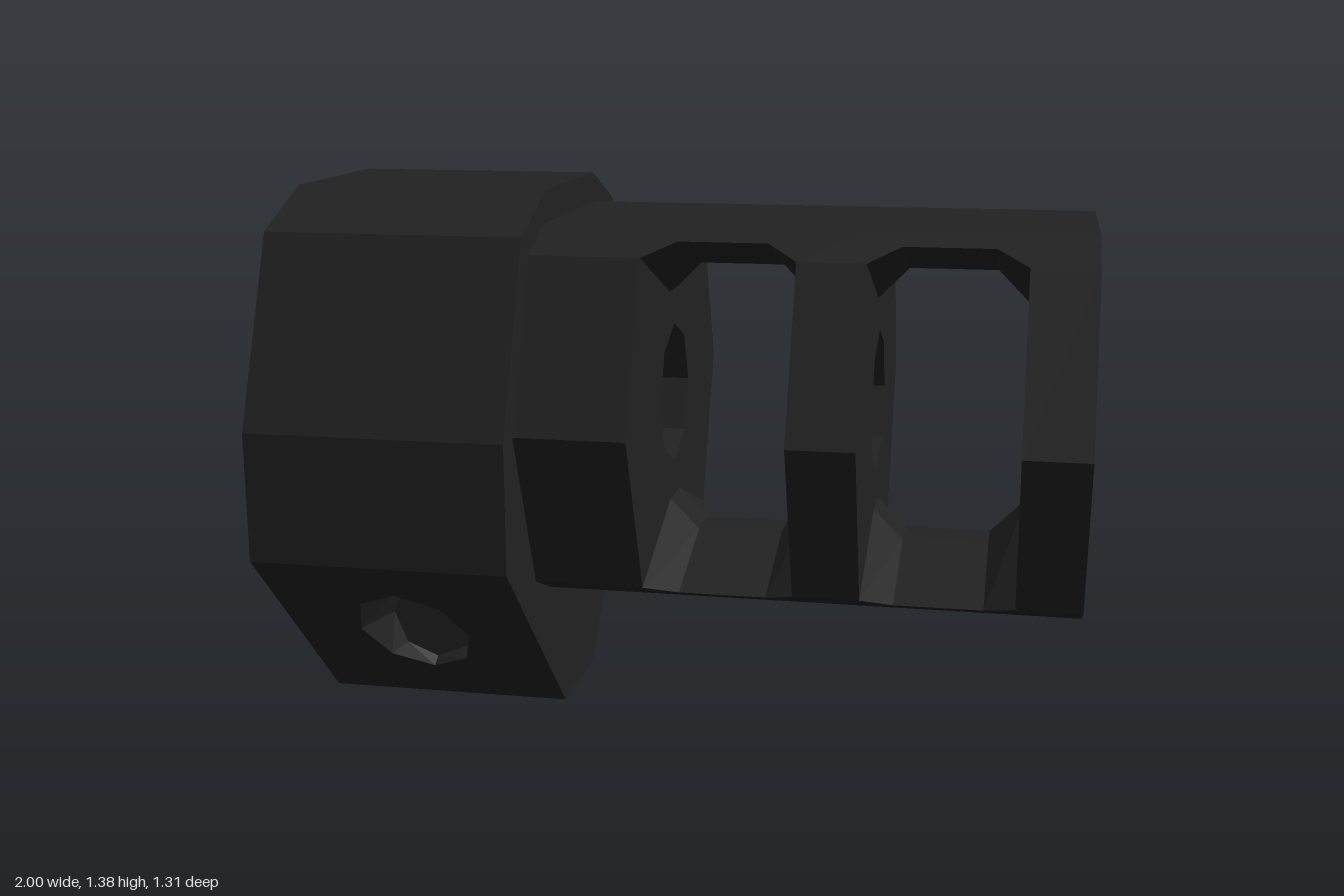
import * as THREE from 'three';

const AXIS_Y = 0.832; // height of the bore axis

// Faceted skin between successive rings of [x, y, z] points
function loft(rings, closed = true) {
  const pos = [];
  for (let i = 0; i < rings.length - 1; i++) {
    const n = rings[i].length;
    for (let j = 0; j < (closed ? n : n - 1); j++) {
      const k = (j + 1) % n;
      const a = rings[i][j], b = rings[i + 1][j], c = rings[i + 1][k], d = rings[i][k];
      pos.push(...a, ...b, ...c, ...a, ...c, ...d);
    }
  }
  const g = new THREE.BufferGeometry();
  g.setAttribute('position', new THREE.Float32BufferAttribute(pos, 3));
  g.computeVertexNormals();
  return g;
}

// Clockwise octagon with corners on the axes
const octagon = (r, cx = 0, cy = 0) => Array.from({ length: 8 }, (_, i) => {
  const a = -i * Math.PI / 4;
  return [cx + r * Math.cos(a), cy + r * Math.sin(a)];
});
const path = (pts, Type = THREE.Shape) => new Type(pts.map(p => new THREE.Vector2(...p)));
function holed(outline, hole) {
  const s = path(outline);
  s.holes.push(path(hole, THREE.Path));
  return s;
}
const atX = (pts, x) => pts.map(([z, y]) => [x, y, z]);

export function createModel() {
  const model = new THREE.Group();
  const metal = new THREE.MeshStandardMaterial({ color: 0x222222, flatShading: true, side: THREE.DoubleSide });
  metal.name = 'blackened steel';
  const add = (parent, name, geometry) => {
    const m = new THREE.Mesh(geometry, metal);
    m.name = name;
    parent.add(m);
    return m;
  };

  // Ported barrel, built around the bore axis
  const barrel = new THREE.Group();
  barrel.name = 'portedBarrel';
  barrel.position.y = AXIS_Y;
  model.add(barrel);
  const barrelOutline = [
    [0.58, 0], [0.41, 0.412], [0.27, 0.472], [-0.27, 0.472], [-0.41, 0.412],
    [-0.58, 0], [-0.41, -0.412], [-0.27, -0.472], [0.27, -0.472], [0.41, -0.412],
  ];
  for (const [x0, x1] of [[-0.35, -0.075], [0.3, 0.465], [0.84, 1]]) {
    const g = new THREE.ExtrudeGeometry(holed(barrelOutline, octagon(0.185)), { depth: x1 - x0, bevelEnabled: false });
    g.rotateY(Math.PI / 2).translate(x0, 0, 0);
    add(barrel, 'baffle', g);
  }

  // Bridges above and below each port, with chamfered corners
  const bridgeRing = (x, zc, yc, yi) => atX(
    [[zc, yc], [0.27, 0.472], [-0.27, 0.472], [-zc, yc], [-0.06, yi], [0.06, yi]], x);
  for (const [x0, x1] of [[-0.075, 0.3], [0.465, 0.84]]) {
    const g = loft([
      bridgeRing(x0, 0.41, 0.412, 0.278),
      bridgeRing(x0 + 0.077, 0.335, 0.444, 0.356),
      bridgeRing(x1 - 0.077, 0.335, 0.444, 0.356),
      bridgeRing(x1, 0.41, 0.412, 0.278),
    ]);
    add(barrel, 'topBridge', g);
    add(barrel, 'bottomBridge', g).rotation.x = Math.PI;
  }

  // Clamp block
  const clamp = new THREE.Group();
  clamp.name = 'clampBlock';
  model.add(clamp);
  const upper = [
    [0.655, 0.51], [0.655, 0.832], [0.465, 1.293], [0.243, 1.385],
    [-0.243, 1.385], [-0.465, 1.293], [-0.655, 0.832], [-0.655, 0.51],
  ];
  const lower = [[-0.15, 0], [0.15, 0]];
  const [back, front] = [-1, -0.35];
  add(clamp, 'clampShell', loft([atX(upper, back), atX(upper, front)], false));
  add(clamp, 'clampBase', loft([atX(lower, back), atX(lower, front)], false));

  const outline = [...upper, ...lower];
  const cap = (name, r, x, turn) => {
    const g = new THREE.ShapeGeometry(holed(outline, octagon(r, 0, AXIS_Y)));
    add(clamp, name, g.rotateY(turn * Math.PI / 2).translate(x, 0, 0));
  };
  cap('clampFrontFace', 0.185, front, 1);
  cap('clampBackFace', 0.39, back, -1);

  // Wide rear socket stepping down to the bore
  const boreRing = (x, r) => atX(octagon(r, 0, AXIS_Y), x);
  add(clamp, 'socketAndBore', loft([
    boreRing(back, 0.39), boreRing(-0.8, 0.39), boreRing(-0.8, 0.185), boreRing(front, 0.185),
  ]));

  // Sloped lower flanks, each with a recessed screw hole
  const slopeZ = y => 0.15 + y * 0.505 / 0.51;
  const screwY = 0.265;
  for (const turn of [0, Math.PI]) {
    const flank = new THREE.Group();
    flank.name = turn ? 'backFlank' : 'frontFlank';
    flank.position.x = (back + front) / 2;
    flank.rotation.y = turn;
    clamp.add(flank);

    const rim = octagon(0.145, 0, screwY);
    const rect = [[-0.325, 0], [0.325, 0], [0.325, 0.51], [-0.325, 0.51]];
    const face = new THREE.ShapeGeometry(holed(rect, rim));
    const p = face.attributes.position;
    for (let i = 0; i < p.count; i++) p.setZ(i, slopeZ(p.getY(i)));
    face.computeVertexNormals();
    add(flank, 'slopedFace', face);

    const flat = (r, z) => octagon(r, 0, screwY - 0.01).map(([x, y]) => [x, y, z]);
    add(flank, 'screwRecess', loft([
      rim.map(([x, y]) => [x, y, slopeZ(y)]), flat(0.118, 0.24), flat(0, 0.24),
    ]));
  }
  return model;
}
